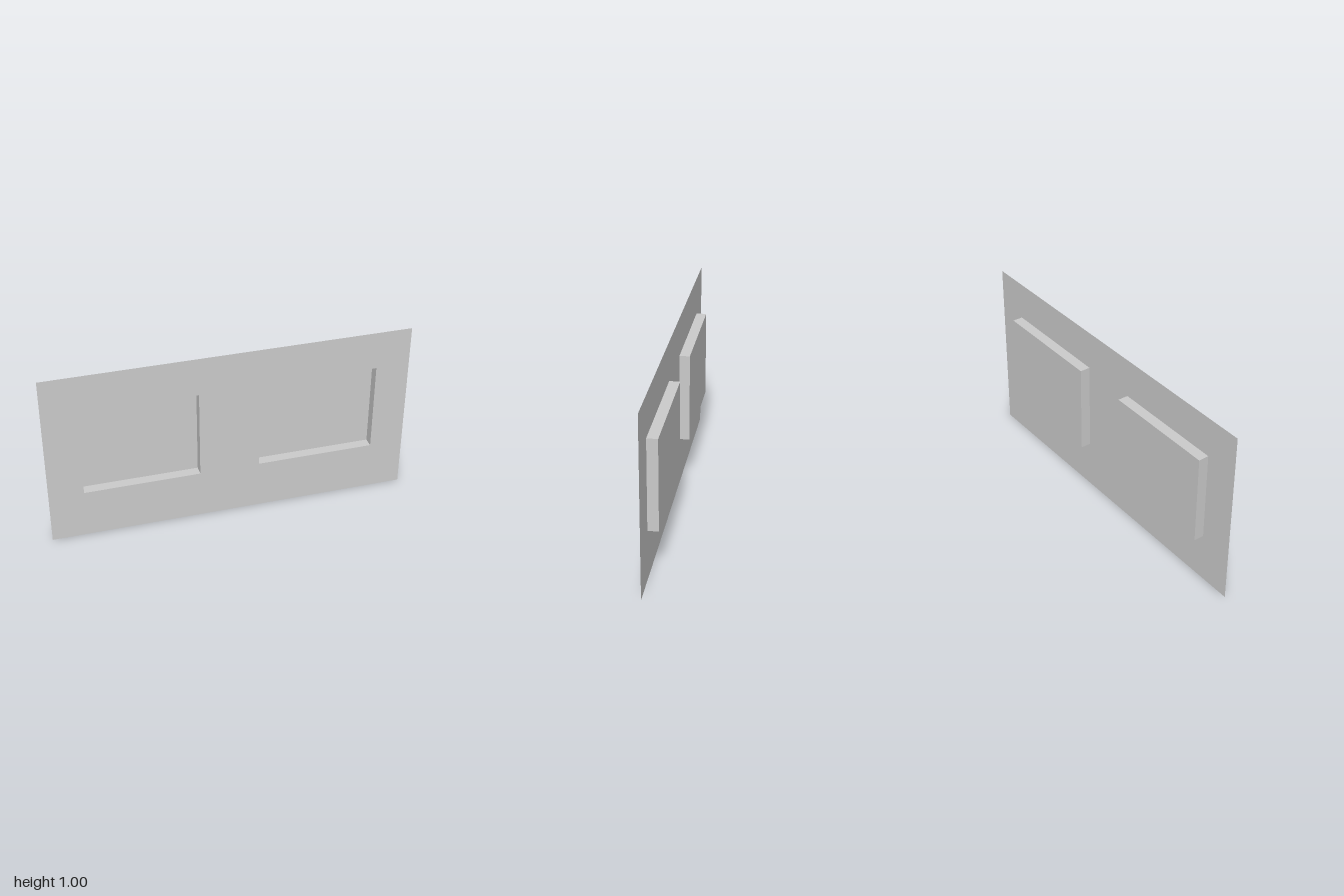
import * as THREE from 'three';

const HALF_DEPTH = 0.0285;
const BOTTOM = 0.278, TOP = 0.783;
const recesses = [
  { name: 'rightRecess', x0: -0.81, x1: -0.172 },
  { name: 'leftRecess', x0: 0.16, x1: 0.813 },
];

const rectangle = (Type, x0, y0, x1, y1) => new Type([
  new THREE.Vector2(x0, y0), new THREE.Vector2(x1, y0),
  new THREE.Vector2(x1, y1), new THREE.Vector2(x0, y1),
]);

// Box without its front (+z) face: four walls and a back
function openTray(width, height, depth) {
  const geometry = new THREE.BoxGeometry(width, height, depth);
  const index = Array.from(geometry.index.array);
  index.splice(24, 6);
  geometry.setIndex(index);
  geometry.clearGroups();
  return geometry;
}

export function createModel() {
  const model = new THREE.Group();
  model.name = 'recessedPanel';
  const material = new THREE.MeshStandardMaterial({ color: 0xcccccc, side: THREE.DoubleSide });

  // Thin front sheet with two openings
  const outline = rectangle(THREE.Shape, -1, 0, 1, 1);
  for (const { x0, x1 } of recesses) {
    outline.holes.push(rectangle(THREE.Path, x0, BOTTOM, x1, TOP));
  }
  const sheet = new THREE.Mesh(new THREE.ShapeGeometry(outline), material);
  sheet.name = 'frontSheet';
  sheet.position.z = HALF_DEPTH;
  model.add(sheet);

  // Shallow trays set behind the openings
  for (const { name, x0, x1 } of recesses) {
    const tray = new THREE.Mesh(openTray(x1 - x0, TOP - BOTTOM, 2 * HALF_DEPTH), material);
    tray.name = name;
    tray.position.set((x0 + x1) / 2, (BOTTOM + TOP) / 2, 0);
    model.add(tray);
  }
  return model;
}
